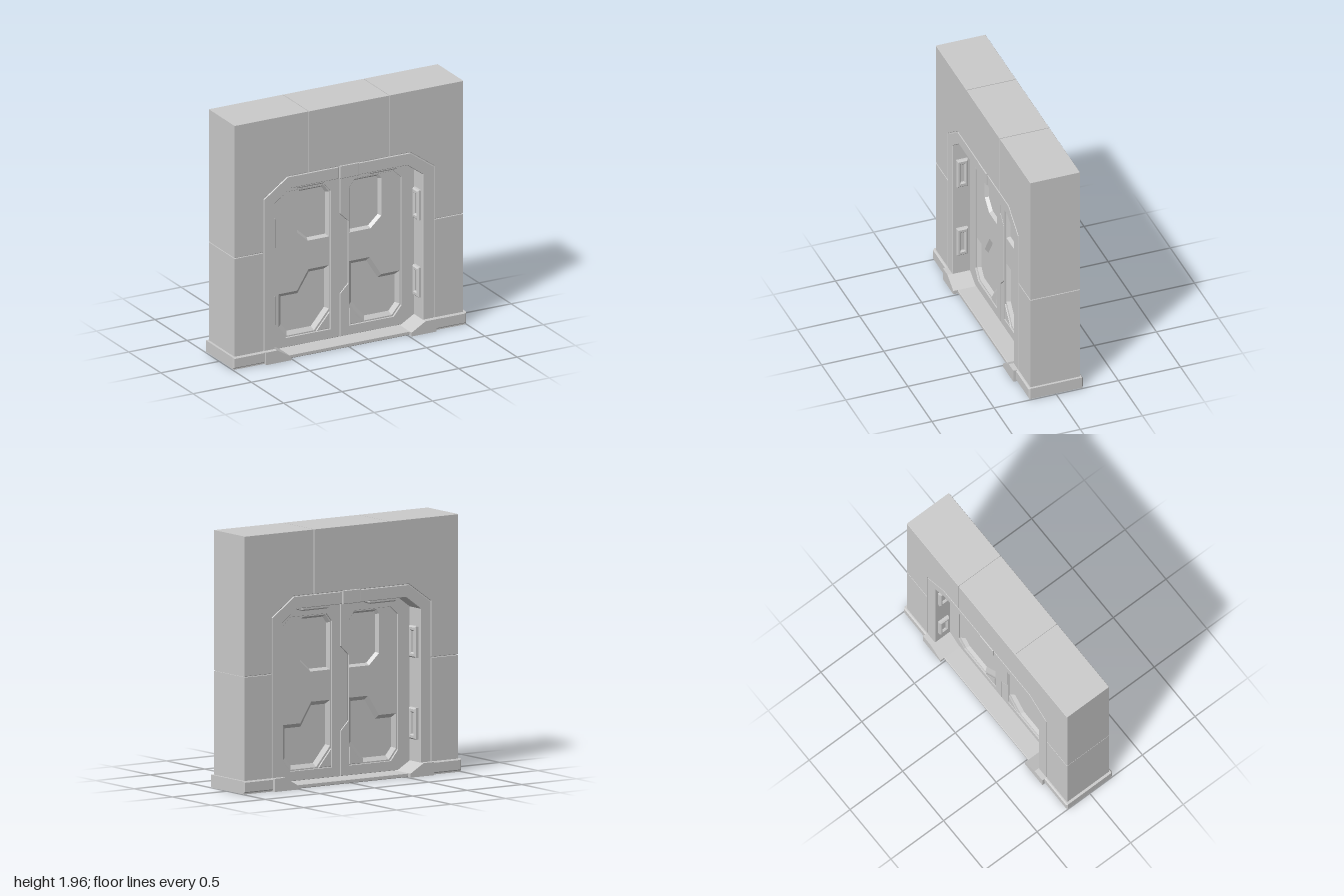
import * as THREE from 'three';

const material = new THREE.MeshStandardMaterial({ color: 0xcccccc });

const toVectors = (pts) => pts.map(([x, y]) => new THREE.Vector2(x, y));

// Mirror an outline across x = 0, keeping its winding
const flip = (pts) => pts.map(([x, y]) => [-x, y]).reverse();

function add(parent, name, geometry) {
  const mesh = new THREE.Mesh(geometry, material);
  mesh.name = name;
  parent.add(mesh);
  return mesh;
}

// Outline extruded from z0 to z1 with a chamfer kept inside the outline
function plate(parent, name, pts, z0, z1, bevel = 0, holes = []) {
  const shape = new THREE.Shape(toVectors(pts));
  shape.holes = holes.map((h) => new THREE.Path(toVectors(h)));
  const geometry = new THREE.ExtrudeGeometry(shape, {
    depth: z1 - z0 - 2 * bevel,
    bevelEnabled: bevel > 0,
    bevelSize: bevel,
    bevelThickness: bevel,
    bevelOffset: -bevel,
    bevelSegments: 1,
  });
  geometry.translate(0, 0, z0 + bevel);
  return add(parent, name, geometry);
}

const rect = (x0, y0, x1, y1) => [[x0, y0], [x1, y0], [x1, y1], [x0, y1]];

// Inward mitred offset of a counter-clockwise outline
function inset(pts, d) {
  const n = pts.length;
  return pts.map((p, i) => {
    const a = pts[(i + n - 1) % n], b = pts[(i + 1) % n];
    const u = new THREE.Vector2(p[0] - a[0], p[1] - a[1]).normalize();
    const v = new THREE.Vector2(b[0] - p[0], b[1] - p[1]).normalize();
    const k = d / (1 + u.dot(v));
    return [p[0] - (u.y + v.y) * k, p[1] + (u.x + v.x) * k];
  });
}

// Sunken panel: sloped sides and a flat floor
function recess(parent, name, pts, z0, z1, slope) {
  const inner = inset(pts, slope);
  const pos = [];
  pts.forEach((a, i) => {
    const j = (i + 1) % pts.length;
    const A = [...a, z0], B = [...pts[j], z0];
    const C = [...inner[j], z1], D = [...inner[i], z1];
    pos.push(...A, ...B, ...C, ...A, ...C, ...D);
  });
  const sides = new THREE.BufferGeometry();
  sides.setAttribute('position', new THREE.Float32BufferAttribute(pos, 3));
  sides.computeVertexNormals();
  add(parent, name + 'Sides', sides);
  const floor = new THREE.ShapeGeometry(new THREE.Shape(toVectors(inner)));
  floor.translate(0, 0, z1);
  add(parent, name + 'Floor', floor);
}

// Framed lamp lying in the local xy plane, facing local +z
function lamp(parent, name, position, rotation) {
  const group = new THREE.Group();
  group.name = name;
  plate(group, 'lampFrame', rect(-0.12, -0.045, 0.12, 0.045), -0.02, 0.028, 0.01,
    [rect(-0.08, -0.015, 0.08, 0.015).reverse()]);
  plate(group, 'lampLens', rect(-0.1, -0.03, 0.1, 0.03), -0.02, 0.01);
  group.position.set(...position);
  group.rotation.set(...rotation);
  parent.add(group);
}

// One face of the double door, with the lamps in front of it
function doorFace() {
  const face = new THREE.Group();
  face.name = 'doorFace';

  const opening = [[0.08, 0.11], [0.46, 0.11], [0.525, 0.19], [0.525, 1.22],
    [0.46, 1.28], [0.13, 1.28], [0.08, 1.22]];
  const windowPts = [[0.087, 0.85], [0.27, 0.85], [0.362, 0.935], [0.362, 1.235],
    [0.34, 1.27], [0.13, 1.27], [0.087, 1.21]];
  const kickPts = [[0.087, 0.272], [0.215, 0.12], [0.45, 0.12], [0.518, 0.2],
    [0.518, 0.465], [0.36, 0.465], [0.262, 0.62], [0.087, 0.62]];
  const cornerPts = [[0.086, 0.116], [0.2, 0.116], [0.086, 0.25]];

  // The meeting edge jogs sideways, so the leaves interlock
  const seam = (d) => [[d, 0.035], [d, 0.38], [0.07 + d, 0.45],
    [0.07 + d, 0.95], [d, 1.02], [d, 1.37]];
  const rightOutline = [...seam(0.003), [0.5, 1.37], [0.64, 1.27], [0.64, 0.035]].reverse();
  const leftOutline = [...seam(-0.003), [-0.5, 1.37], [-0.64, 1.27], [-0.64, 0.035]];

  for (const side of [1, -1]) {
    const m = (pts) => (side > 0 ? pts : flip(pts));
    const leaf = new THREE.Group();
    leaf.name = side > 0 ? 'leftLeaf' : 'rightLeaf';
    face.add(leaf);
    plate(leaf, 'leafFrame', side > 0 ? rightOutline : leftOutline, 0.015, 0.06, 0.002,
      [m(opening)]);
    plate(leaf, 'leafPanel', m(rect(0.077, 0.1, 0.535, 1.29)), 0.016, 0.047, 0,
      [m(windowPts), m(kickPts)]);
    recess(leaf, 'upperRecess', m(windowPts), 0.047, 0.021, 0.018);
    recess(leaf, 'lowerRecess', m(kickPts), 0.047, 0.023, 0.03);
    plate(leaf, 'cornerPlate', m(cornerPts), 0.02, 0.058, 0.003);

    // Lamps on the side and top of the reveal
    for (const y of [0.39, 1.01]) {
      lamp(face, 'sideLamp', [side * 0.632, y, 0.128], [0, -side * Math.PI / 2, Math.PI / 2]);
    }
    lamp(face, 'topLamp', [side * 0.31, 1.365, 0.128], [Math.PI / 2, 0, 0]);
  }
  return face;
}

export function createModel() {
  const model = new THREE.Group();
  model.name = 'doorway';

  // Hidden core that closes the seams between wall panels and frame
  plate(model, 'wallCore', [[-0.972, 0.05], [-0.65, 0.05], [-0.65, 1.275], [-0.505, 1.38],
    [0.505, 1.38], [0.65, 1.275], [0.65, 0.05], [0.972, 0.05], [0.972, 1.947],
    [-0.972, 1.947]], -0.192, 0.192);

  // Top wall panel, and the rear seam cover
  plate(model, 'topWallPanel', rect(-0.342, 1.465, 0.342, 1.955), -0.2, 0.2, 0.002);
  plate(model, 'rearSeamCover', rect(-0.35, 1.466, -0.34, 1.954), -0.2, -0.19);

  const upperWall = [[0.348, 1.465], [0.528, 1.465], [0.733, 1.319], [0.733, 0.893],
    [0.98, 0.893], [0.98, 1.955], [0.348, 1.955]];
  const frame = [[0.084, 1.365], [0.5, 1.365], [0.634, 1.267], [0.634, 0.08], [0.727, 0.08],
    [0.727, 1.316], [0.525, 1.46], [0.084, 1.46]];
  const foot = [[0.515, 0], [0.73, 0], [0.73, 0.1], [0.635, 0.1], [0.515, 0.03]];

  for (const side of [1, -1]) {
    const m = (pts) => (side > 0 ? pts : flip(pts));
    plate(model, 'upperWallPanel', m(upperWall), -0.2, 0.2, 0.002);
    plate(model, 'lowerWallPanel', m(rect(0.733, 0.08, 0.98, 0.887)), -0.2, 0.2, 0.002);
    plate(model, 'doorFrame', m(frame), -0.201, 0.201, 0.004);
    plate(model, 'frameFoot', m(foot), -0.24, 0.24);
    plate(model, 'wallBase', m(rect(0.72, 0.008, 1, 0.1)), -0.218, 0.218, 0.01);
    plate(model, 'basePlinth', m(rect(0.72, 0, 0.99, 0.02)), -0.21, 0.21);
  }

  // Keystone and threshold
  plate(model, 'keystone', rect(-0.08, 1.363, 0.08, 1.467), -0.207, 0.207, 0.004);
  plate(model, 'threshold', rect(-0.53, 0, 0.53, 0.03), -0.205, 0.205, 0.004);

  // Door core, then the same face on both sides
  plate(model, 'doorCore', rect(-0.64, 0.02, 0.64, 1.37), -0.018, 0.018);
  model.add(doorFace());
  const back = doorFace();
  back.rotation.y = Math.PI;
  model.add(back);

  return model;
}
